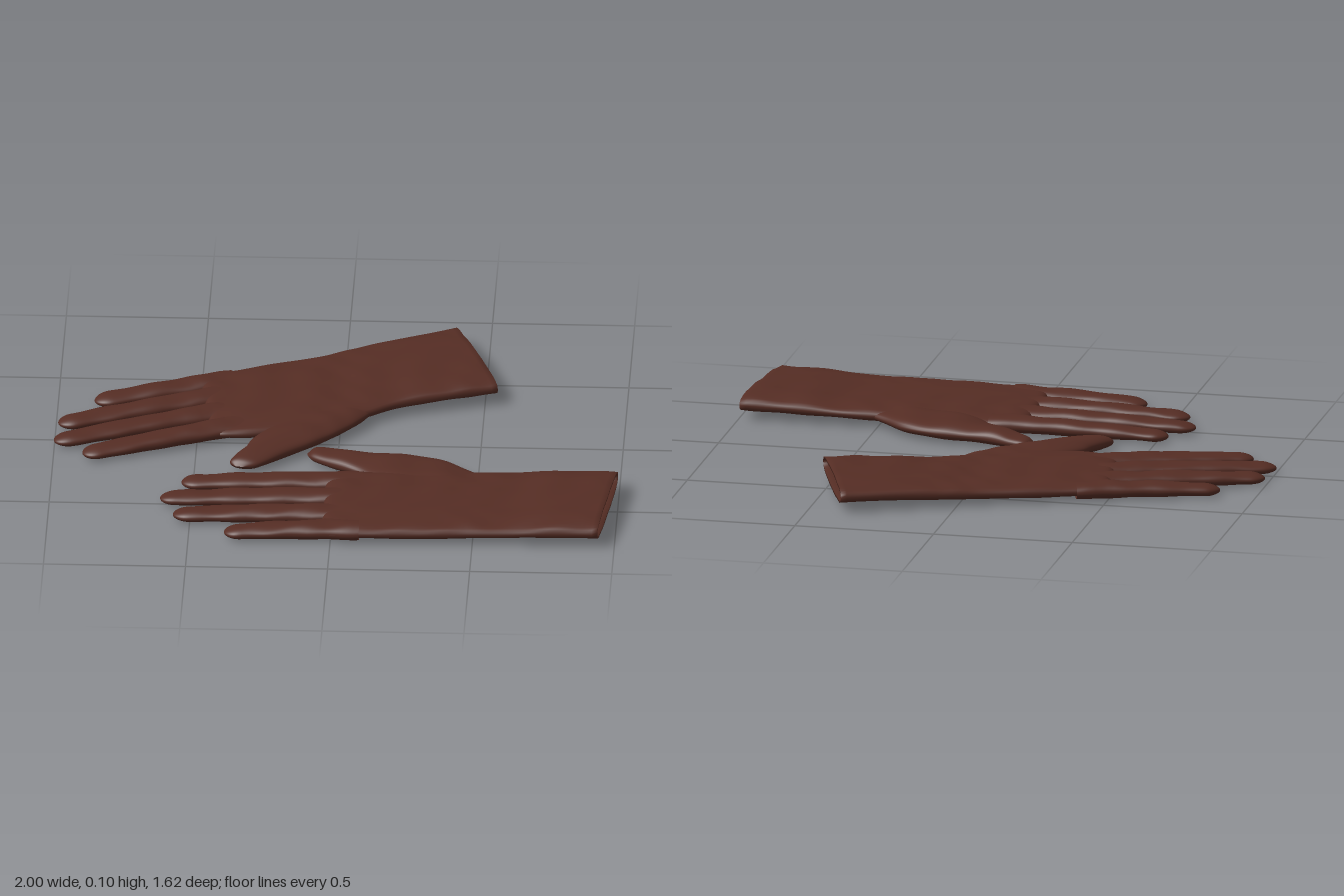
import * as THREE from 'three';

const leather = new THREE.MeshStandardMaterial({ color: 0x552d24, side: THREE.DoubleSide });
leather.name = 'brown leather';

const RING = 40;

// Soft creases in the leather, fading out with the thickness h
function crease(x, z, h) {
  const k = Math.min(1, h / 0.03);
  return k * (0.0022 * Math.sin(34 * x + 21 * z + 3 * Math.sin(9 * z)) +
    0.0016 * Math.sin(17 * x - 43 * z + 2 * Math.sin(13 * x)));
}

// Skin over flattened oval rows { ax, az, bx, bz, y, h }: two edge points, height, half thickness
function skin(name, rows, power = 0.75) {
  const pos = [], index = [];
  const pw = (v) => Math.sign(v) * Math.pow(Math.abs(v), power);
  rows.forEach((r, i) => {
    for (let j = 0; j < RING; j++) {
      const t = (j / RING) * Math.PI * 2, c = pw(Math.cos(t)), s = pw(Math.sin(t));
      const x = (r.ax + r.bx) / 2 + (r.bx - r.ax) / 2 * c;
      const z = (r.az + r.bz) / 2 + (r.bz - r.az) / 2 * c;
      pos.push(x, r.y + s * (r.h + crease(x, z, r.h) * (s > 0 ? 1 : 0.6)), z);
      if (i < rows.length - 1) {
        const a = i * RING + j, b = i * RING + (j + 1) % RING;
        index.push(a, b, a + RING, b, b + RING, a + RING);
      }
    }
  });
  const g = new THREE.BufferGeometry();
  g.setAttribute('position', new THREE.Float32BufferAttribute(pos, 3));
  g.setIndex(index);
  g.computeVertexNormals();
  const mesh = new THREE.Mesh(g, leather);
  mesh.name = name;
  return mesh;
}

// Smooth rows through a few stations [ax, az, bx, bz, y, h]
function smoothRows(stations, count) {
  const A = new THREE.CatmullRomCurve3(stations.map((s) => new THREE.Vector3(s[0], s[5], s[1])), false, 'catmullrom');
  const B = new THREE.CatmullRomCurve3(stations.map((s) => new THREE.Vector3(s[2], s[4], s[3])), false, 'catmullrom');
  return Array.from({ length: count + 1 }, (_, i) => {
    const a = A.getPoint(i / count), b = B.getPoint(i / count);
    return { ax: a.x, az: a.z, bx: b.x, bz: b.z, y: b.y, h: Math.max(0, a.y) };
  });
}

// Lining row: the same row pulled in by the leather's thickness
function inset(r) {
  const dx = r.bx - r.ax, dz = r.bz - r.az, k = 0.012 / Math.hypot(dx, dz);
  return { ax: r.ax + dx * k, az: r.az + dz * k, bx: r.bx - dx * k, bz: r.bz - dz * k, y: r.y, h: r.h - 0.009 };
}

// Finger from its base to a rounded tip, rooted inside the palm
function finger(name, [x0, z0, x1, z1], halfBase = 0.06, halfTip = 0.044) {
  const full = Math.hypot(x1 - x0, z1 - z0), fx = (x1 - x0) / full, fz = (z1 - z0) / full;
  const root = 0.1, length = full + root, round = 0.055, rows = [], n = 36;
  for (let i = 0; i <= n; i++) {
    const u = Math.sin((i / n) * Math.PI / 2), d = u * length;
    const over = Math.max(0, (d - (length - round)) / round);
    const cap = Math.sqrt(Math.max(0, 1 - over * over));
    const blend = Math.min(1, d / (root + 0.1));
    const w = cap * (THREE.MathUtils.lerp(halfBase, 0.051, blend) + (halfTip - 0.051) * u * u
      + 0.0015 * Math.sin(d * 45));
    const cx = x0 + fx * (d - root), cz = z0 + fz * (d - root);
    rows.push({
      ax: cx - fz * w, az: cz + fx * w, bx: cx + fz * w, bz: cz - fx * w,
      y: 0.042 - 0.014 * u * u, h: cap * (0.029 - 0.012 * u * u),
    });
  }
  return skin(name, rows, 0.9);
}

function glove(name, { palm, thumb, fingers }) {
  const group = new THREE.Group();
  group.name = name;
  // Palm and cuff in one piece, turned inward at the opening as lining
  const outer = smoothRows(palm, 72);
  const lining = outer.slice(0, 26).map(inset).reverse();
  group.add(skin('palmAndCuff', [...lining, ...outer], 0.7));
  group.add(skin('thumb', smoothRows(thumb, 48), 0.9));
  for (const [part, line] of Object.entries(fingers)) group.add(finger(part, line));
  return group;
}

export function createModel() {
  const model = new THREE.Group();
  model.name = 'pairOfGloves';

  model.add(glove('frontGlove', {
    palm: [
      [0.995, 0.31, 0.94, 0.80, 0.062, 0.037],
      [0.80, 0.305, 0.77, 0.797, 0.06, 0.038],
      [0.62, 0.305, 0.62, 0.795, 0.053, 0.031],
      [0.48, 0.31, 0.48, 0.795, 0.05, 0.034],
      [0.30, 0.305, 0.30, 0.80, 0.047, 0.034],
      [0.12, 0.305, 0.12, 0.80, 0.045, 0.031],
      [0.02, 0.31, 0.02, 0.80, 0.043, 0.027],
      [-0.02, 0.315, -0.02, 0.795, 0.042, 0.02],
      [-0.035, 0.33, -0.035, 0.78, 0.042, 0],
    ],
    thumb: [
      [0.57, 0.36, 0.52, 0.50, 0.05, 0.015],
      [0.47, 0.28, 0.36, 0.46, 0.047, 0.028],
      [0.38, 0.205, 0.24, 0.42, 0.045, 0.032],
      [0.27, 0.165, 0.14, 0.36, 0.044, 0.032],
      [0.16, 0.152, 0.085, 0.30, 0.043, 0.03],
      [0.06, 0.14, 0.03, 0.26, 0.042, 0.028],
      [-0.02, 0.108, -0.03, 0.22, 0.04, 0.024],
      [-0.075, 0.097, -0.083, 0.178, 0.038, 0.018],
      [-0.105, 0.125, -0.106, 0.145, 0.037, 0],
    ],
    fingers: {
      indexFinger: [0, 0.363, -0.54, 0.36],
      middleFinger: [0, 0.49, -0.61, 0.49],
      ringFinger: [0, 0.62, -0.56, 0.62],
      littleFinger: [0, 0.745, -0.375, 0.755],
    },
  }));

  model.add(glove('backGlove', {
    palm: [
      [0.375, -0.815, 0.545, -0.345, 0.067, 0.036],
      [0.20, -0.735, 0.36, -0.285, 0.064, 0.037],
      [0.03, -0.66, 0.20, -0.23, 0.056, 0.034],
      [-0.10, -0.60, 0.09, -0.16, 0.05, 0.033],
      [-0.25, -0.545, -0.06, -0.06, 0.047, 0.034],
      [-0.40, -0.487, -0.27, 0.0, 0.045, 0.031],
      [-0.47, -0.46, -0.38, 0.01, 0.043, 0.027],
      [-0.50, -0.445, -0.43, 0.005, 0.042, 0.02],
      [-0.515, -0.43, -0.455, -0.02, 0.042, 0],
    ],
    thumb: [
      [-0.05, -0.26, 0.12, -0.21, 0.05, 0.018],
      [-0.15, -0.14, 0.08, -0.13, 0.047, 0.03],
      [-0.25, -0.03, 0.0, -0.025, 0.045, 0.033],
      [-0.305, 0.05, -0.09, 0.07, 0.044, 0.032],
      [-0.325, 0.11, -0.18, 0.15, 0.042, 0.029],
      [-0.36, 0.175, -0.25, 0.215, 0.04, 0.024],
      [-0.375, 0.215, -0.285, 0.24, 0.038, 0.018],
      [-0.355, 0.243, -0.33, 0.248, 0.037, 0],
    ],
    fingers: {
      indexFinger: [-0.43, -0.045, -0.895, 0.15],
      middleFinger: [-0.46, -0.165, -1.0, 0.05],
      ringFinger: [-0.485, -0.285, -0.99, -0.09],
      littleFinger: [-0.48, -0.405, -0.87, -0.275],
    },
  }));

  // Rest the pair on the ground
  model.position.y = -new THREE.Box3().setFromObject(model).min.y + 0.004;
  return model;
}
